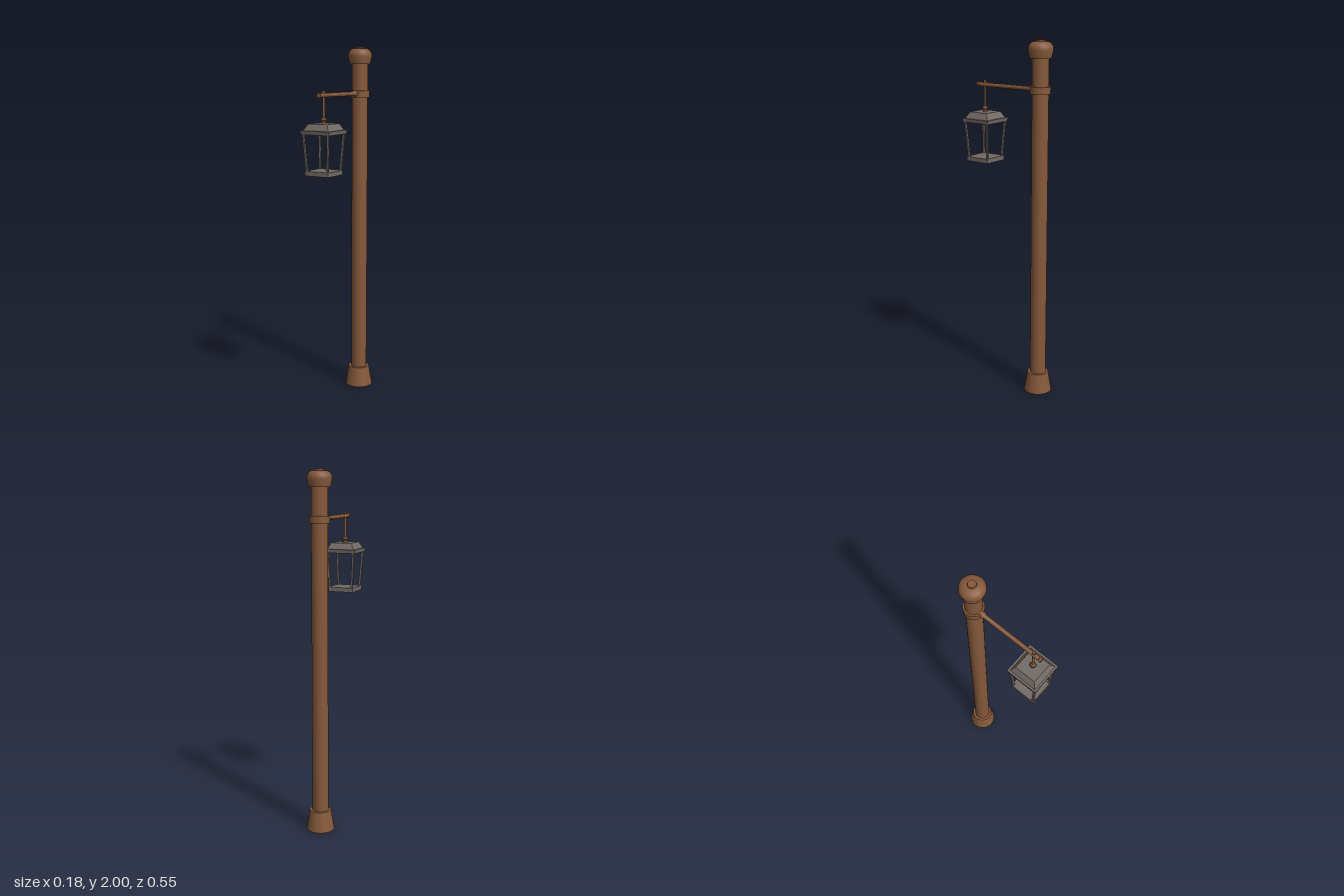
import * as THREE from 'three';
import { toCreasedNormals } from 'three/addons/utils/BufferGeometryUtils.js';

const POLE_Z = -0.197, LAMP_Z = 0.183, ARM_Y = 1.742;

export function createModel() {
  const model = new THREE.Group();
  model.name = 'lampPost';
  const wood = new THREE.MeshStandardMaterial({ color: 0x85593b });
  wood.name = 'brown';
  const iron = new THREE.MeshStandardMaterial({ color: 0x726a65 });
  iron.name = 'grey';

  // Revolved profile, listed from the bottom up as [radius, y]
  function turned(name, profile, sides = 24, parent = model) {
    const pts = profile.map(([r, y]) => new THREE.Vector2(r, y));
    const mesh = new THREE.Mesh(toCreasedNormals(new THREE.LatheGeometry(pts, sides), 0.5), wood);
    mesh.name = name;
    parent.add(mesh);
    return mesh;
  }

  // Square profile, listed as [half width, y]
  function squared(name, profile, parent) {
    const pts = profile.map(([h, y]) => new THREE.Vector2(h * Math.SQRT2, y));
    const geo = new THREE.LatheGeometry(pts, 4, Math.PI / 4).toNonIndexed();
    geo.computeVertexNormals();
    const mesh = new THREE.Mesh(geo, iron);
    mesh.name = name;
    parent.add(mesh);
  }

  // Post
  const post = new THREE.Group();
  post.name = 'post';
  post.position.z = POLE_Z;
  model.add(post);
  turned('base', [[0, 0], [0.079, 0], [0.06, 0.113], [0.044, 0.113]], 24, post);
  turned('pole', [[0.045, 0.1], [0.045, 1.92]], 24, post);
  turned('collar', [[0.044, 1.72], [0.055, 1.72], [0.055, 1.758], [0.044, 1.758]], 24, post);
  turned('cap', [[0.04, 1.907], [0.058, 1.907], [0.068, 1.95], [0.066, 1.967], [0.057, 1.982],
    [0.042, 1.991], [0.023, 1.993], [0.021, 2], [0, 2]], 24, post);

  // Arm reaching forward, with a flared root and a tip ring
  const arm = turned('arm', [[0, -0.17], [0.018, -0.17], [0.018, -0.14], [0.0115, -0.122],
    [0.0115, 0.217], [0.0138, 0.219], [0.0138, 0.232], [0, 0.232]], 12);
  arm.rotation.x = Math.PI / 2;
  arm.position.y = ARM_Y;

  // Hanging lantern
  const lantern = new THREE.Group();
  lantern.name = 'lantern';
  lantern.position.z = LAMP_Z;
  model.add(lantern);
  turned('hanger', [[0, 1.585], [0.012, 1.585], [0.012, 1.603], [0.017, 1.609], [0.015, 1.618],
    [0.0065, 1.626], [0.0065, 1.756], [0.008, 1.758], [0.008, 1.767], [0, 1.767]], 12, lantern);
  squared('roof', [[0, 1.567], [0.082, 1.536], [0.089, 1.536], [0.0915, 1.557], [0.08, 1.557],
    [0.06, 1.592], [0, 1.592]], lantern);
  squared('floor', [[0, 1.314], [0.074, 1.314], [0.074, 1.339], [0, 1.339]], lantern);

  // Four corner bars leaning outward to the roof
  for (const sx of [-1, 1]) for (const sz of [-1, 1]) {
    const low = new THREE.Vector3(sx * 0.065, 1.332, sz * 0.065);
    const high = new THREE.Vector3(sx * 0.079, 1.542, sz * 0.079);
    const geo = new THREE.BoxGeometry(0.011, high.y - low.y, 0.011);
    const pos = geo.attributes.position;
    for (let i = 0; i < pos.count; i++) {
      const end = pos.getY(i) < 0 ? low : high;
      pos.setXYZ(i, pos.getX(i) + end.x, end.y, pos.getZ(i) + end.z);
    }
    geo.computeVertexNormals();
    const bar = new THREE.Mesh(geo, iron);
    bar.name = 'cornerBar';
    lantern.add(bar);
  }
  return model;
}
